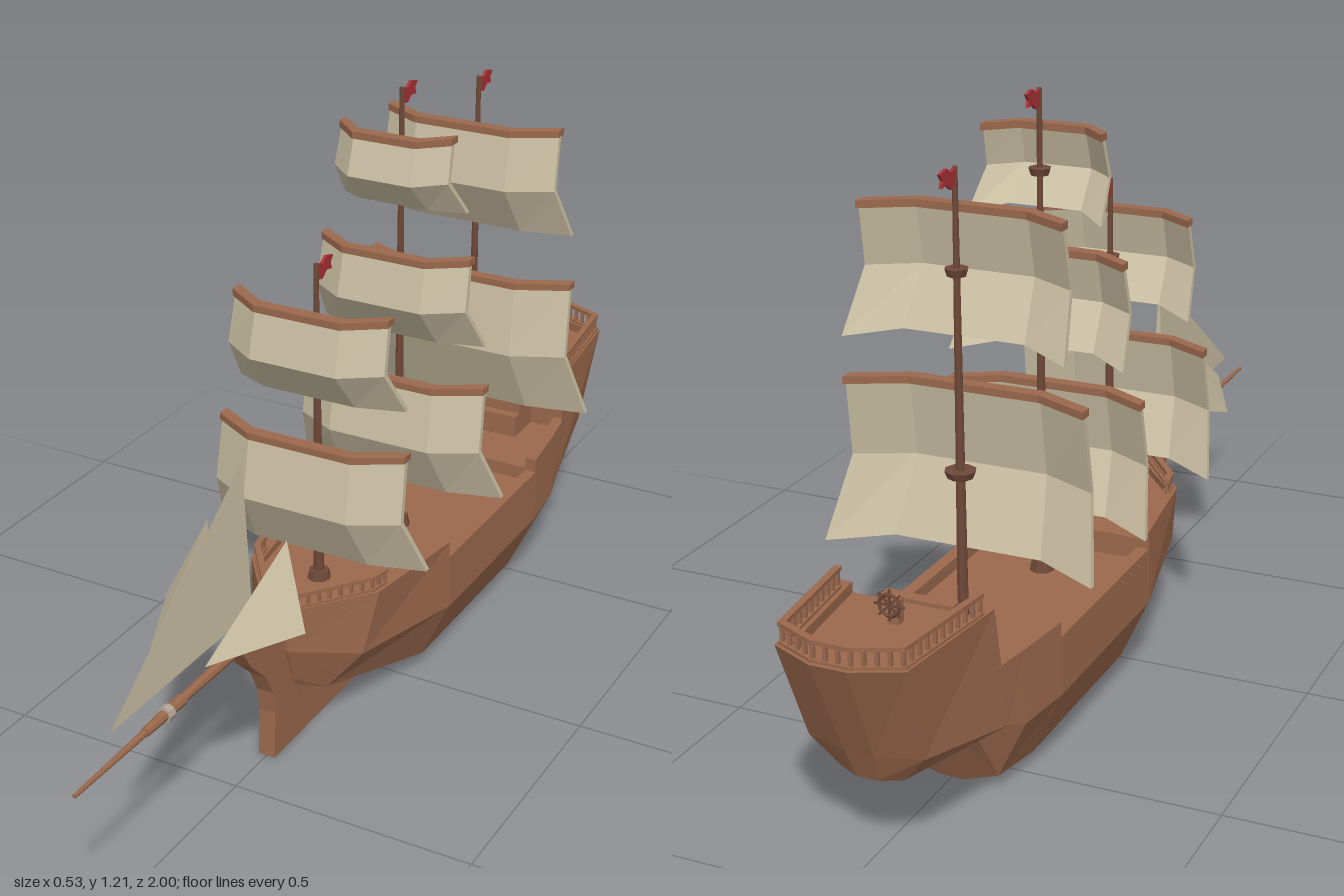
import * as THREE from 'three';

const paint = (name, color) => new THREE.MeshStandardMaterial({ name, color, flatShading: true });

export function createModel() {
  const ship = new THREE.Group();
  ship.name = 'sailingShip';
  const wood = paint('wood', 0x9a684c);
  const dark = paint('darkWood', 0x6e4838);
  const cloth = paint('sailCloth', 0xc9bea2);
  cloth.side = THREE.DoubleSide;
  const red = paint('flagRed', 0xa83236);
  const ringGrey = paint('ringGrey', 0xb3a595);

  const add = (name, geometry, material, x = 0, y = 0, z = 0, parent = ship) => {
    const mesh = new THREE.Mesh(geometry, material);
    mesh.name = name;
    mesh.position.set(x, y, z);
    parent.add(mesh);
    return mesh;
  };
  const box = (name, w, h, d, x, y, z, material = wood, parent = ship) =>
    add(name, new THREE.BoxGeometry(w, h, d), material, x, y, z, parent);
  const faces = (triangles) => {
    const g = new THREE.BufferGeometry();
    g.setAttribute('position', new THREE.Float32BufferAttribute(triangles.flat(2), 3));
    g.computeVertexNormals();
    return g;
  };

  // Skin over closed cross-sections; ends are capped by strips pairing both halves of the loop
  const loft = (sections) => {
    const tris = [];
    const n = sections[0].length;
    const quad = (a, b, c, d) => tris.push([a, b, c], [a, c, d]);
    for (let i = 0; i + 1 < sections.length; i++) {
      const p = sections[i], q = sections[i + 1];
      for (let j = 0; j < n; j++) quad(p[j], q[j], q[(j + 1) % n], p[(j + 1) % n]);
    }
    const first = sections[0], last = sections[sections.length - 1];
    for (let j = 0; j < n / 2 - 1; j++) {
      quad(first[j], first[j + 1], first[n - 2 - j], first[n - 1 - j]);
      quad(last[n - 1 - j], last[n - 2 - j], last[j + 1], last[j]);
    }
    return faces(tris);
  };

  // Hull with bulwarks and decks: keel, bilge, side, rail top, then inner wall and deck
  const station = (keel, bilge, side, top, deck, [dx, dz] = [0.025, 0]) => {
    const [x, y, z] = top;
    const half = [keel, bilge, side, top, [x - dx, y, z + dz], [x - dx, deck, z + dz]];
    return [...half, ...half.map(([px, py, pz]) => [-px, py, pz]).reverse()];
  };
  const mid = (z, top, deck) =>
    station([0.025, 0, z], [0.12, 0.03, z], [0.18, 0.16, z], [0.178, top, z], deck);
  const poopFront = (top, deck) =>
    station([0.02, 0.16, -0.65], [0.08, 0.16, -0.65], [0.155, 0.18, -0.65], [0.15, top, -0.69], deck);
  add('hull', loft([
    station([0.015, 0.12, 0.3], [0.02, 0.14, 0.31], [0.025, 0.22, 0.34], [0.02, 0.31, 0.35], 0.295, [0.01, -0.03]),
    station([0.02, 0.085, 0.28], [0.06, 0.1, 0.25], [0.125, 0.18, 0.22], [0.145, 0.31, 0.19], 0.295),
    mid(-0.05, 0.31, 0.295),
    mid(-0.05, 0.275, 0.25),
    mid(-0.475, 0.275, 0.25),
    mid(-0.475, 0.305, 0.28),
    station([0.025, 0, -0.57], [0.1, 0.03, -0.58], [0.165, 0.16, -0.6], [0.163, 0.305, -0.6], 0.28),
    poopFront(0.305, 0.28),
    poopFront(0.42, 0.4),
    station([0.02, 0.16, -0.87], [0.06, 0.16, -0.86], [0.11, 0.22, -0.88], [0.122, 0.42, -0.955], 0.4, [0.025, 0.015]),
    station([0.015, 0.16, -0.88], [0.02, 0.16, -0.88], [0.028, 0.22, -0.905], [0.035, 0.42, -0.995], 0.4, [0.01, 0.025]),
  ]), wood);

  // Stem and forefoot, drawn as (z, y) and turned to lie along the centre line
  const plate = (points, width) => {
    const shape = new THREE.Shape(points.map(([z, y]) => new THREE.Vector2(-z, y)));
    const g = new THREE.ExtrudeGeometry(shape, { depth: width, bevelEnabled: false });
    return g.translate(0, 0, -width / 2).rotateY(Math.PI / 2);
  };
  add('stem', plate([[-0.05, 0], [0.385, 0], [0.378, 0.1], [0.385, 0.15], [0.41, 0.2],
    [0.46, 0.25], [0.49, 0.295], [0.49, 0.308], [0.33, 0.308], [0.28, 0.12]], 0.036), wood);

  // Bowsprit
  add('bowsprit', new THREE.CylinderGeometry(0.004, 0.013, 0.62, 8).rotateX(Math.PI / 2), wood, 0, 0.297, 0.69);
  add('bowspritSleeve', new THREE.CylinderGeometry(0.009, 0.012, 0.12, 8).rotateX(Math.PI / 2), wood, 0, 0.297, 0.73);
  add('bowspritRing', new THREE.CylinderGeometry(0.015, 0.015, 0.018, 8).rotateX(Math.PI / 2), ringGrey, 0, 0.297, 0.72);

  // Railings: bars and posts following a plan path of (x, z)
  const railing = (name, halfPath, y, height) => {
    const group = new THREE.Group();
    group.name = name;
    ship.add(group);
    const path = [...halfPath, ...halfPath.map(([x, z]) => [-x, z]).reverse()];
    for (let i = 0; i + 1 < path.length; i++) {
      const a = new THREE.Vector3(path[i][0], y, path[i][1]);
      const b = new THREE.Vector3(path[i + 1][0], y, path[i + 1][1]);
      const length = a.distanceTo(b);
      const c = a.clone().lerp(b, 0.5);
      for (const h of [0.003, height - 0.004]) {
        const bar = box('railBar', 0.013, 0.008, length + 0.008, c.x, y + h, c.z, wood, group);
        bar.rotation.y = Math.atan2(b.x - a.x, b.z - a.z);
      }
      const count = Math.max(1, Math.round(length / 0.023));
      for (let k = 0; k <= count; k++) {
        const p = a.clone().lerp(b, k / count);
        box('railPost', 0.007, height, 0.007, p.x, y + height / 2, p.z, wood, group);
      }
    }
  };
  railing('foreRailing', [[0.137, 0.155], [0.13, 0.19], [0.02, 0.335]], 0.308, 0.034);
  railing('sternRailing', [[0.137, -0.72], [0.112, -0.945], [0.035, -0.98]], 0.418, 0.042);

  // Stairs up to the stern deck
  for (let i = 0; i < 4; i++) {
    const top = 0.33 + i * 0.026, front = -0.6 - i * 0.022;
    box('stair', 0.14, top - 0.28, front + 0.69, 0, (top + 0.28) / 2, (front - 0.69) / 2);
  }

  // Steering wheel
  box('wheelStand', 0.022, 0.045, 0.02, 0, 0.4225, -0.765);
  add('wheelRim', new THREE.TorusGeometry(0.02, 0.004, 4, 10), dark, 0, 0.44, -0.785);
  for (let i = 0; i < 4; i++) {
    box('wheelSpoke', 0.058, 0.004, 0.004, 0, 0.44, -0.785, dark).rotation.z = i * Math.PI / 4;
  }

  // Square sail with a bent yard; columns run from one side to the other
  const columns = [[1, -0.05], [0.55, 0], [-0.55, 0], [-1, -0.05]];
  const squareSail = (mastZ, yTop, yBottom, topHalf, bottomHalf) => {
    const yMid = (yTop + yBottom) / 2;
    add('squareSail', loft(columns.map(([u, back]) => {
      const z = mastZ + back;
      const drop = back ? 0 : 0.012;
      const rows = [
        [u * bottomHalf, yBottom + drop, z + 0.032],
        [u * (topHalf + 0.004), yMid, z + 0.095],
        [u * topHalf, yTop, z + 0.072],
      ];
      return [...rows.map(([x, y, pz]) => [x, y, pz - 0.012]), ...rows.reverse()];
    })), cloth);
    add('yard', loft(columns.map(([u, back]) => {
      const x = u * (topHalf + 0.002), z0 = mastZ + back + 0.052, z1 = z0 + 0.026;
      return [[x, yTop - 0.006, z0], [x, yTop + 0.008, z0], [x, yTop + 0.008, z1], [x, yTop - 0.006, z1]];
    })), wood);
  };

  // Masts: collars are [y, radius]; sails are [top, bottom, top half-width, bottom half-width]
  const lower = [0.612, 0.36, 0.2, 0.228];
  const upper = [0.88, 0.69, 0.163, 0.18];
  const masts = [
    { name: 'foreMast', z: 0.172, top: 0.96, base: 0.28, collars: [[0.485, 0.024], [0.795, 0.02]], sails: [lower, upper] },
    { name: 'mainMast', z: -0.167, top: 1.205, base: 0.24, collars: [[0.498, 0.032], [0.797, 0.025], [1.05, 0.022]],
      sails: [lower, upper, [1.12, 0.965, 0.12, 0.135]] },
    { name: 'rearMast', z: -0.512, top: 1.135, base: 0.27, collars: [[0.578, 0.03], [0.95, 0.022]],
      sails: [[0.718, 0.415, 0.233, 0.265], [1.047, 0.815, 0.194, 0.214]] },
  ];
  for (const { name, z, top, base, collars, sails } of masts) {
    add(name, new THREE.CylinderGeometry(0.005, 0.011, top - base, 8), dark, 0, (top + base) / 2, z);
    add('mastFoot', new THREE.CylinderGeometry(0.02, 0.026, 0.025, 8), dark, 0, base + 0.02, z);
    for (const [y, r] of collars) add('collar', new THREE.CylinderGeometry(r, r * 0.8, 0.014, 8), dark, 0, y, z);
    for (const sail of sails) squareSail(z, ...sail);
    const flag = [[0, 0], [-0.02, -0.006], [-0.035, 0.004], [-0.06, -0.002], [-0.05, -0.014],
      [-0.055, -0.027], [-0.035, -0.024], [-0.02, -0.036], [0, -0.032]];
    add('flag', plate(flag.reverse().map(([dz, dy]) => [z + dz, top + dy]), 0.006), red);
  }

  // Fore-and-aft sail, slightly full at its rear edge
  const tip = [0, 0.357, 0.89], peak = [0, 0.675, 0.447];
  const footL = [0.014, 0.366, 0.447], footR = [-0.014, 0.366, 0.447];
  add('centreJib', faces([[tip, footL, peak], [tip, peak, footR], [footL, footR, peak], [tip, footR, footL]]), cloth);
  // Small side sails
  for (const s of [1, -1]) {
    const t = [[s * 0.085, 0.53, 0.437], [s * 0.058, 0.388, 0.68], [s * 0.15, 0.378, 0.485]];
    const inner = [s * 0.07, 0.385, 0.45];
    add(s > 0 ? 'leftJib' : 'rightJib', faces(s > 0
      ? [[t[0], t[1], t[2]], [t[0], inner, t[1]], [t[0], t[2], inner], [t[1], inner, t[2]]]
      : [[t[0], t[2], t[1]], [t[0], t[1], inner], [t[0], inner, t[2]], [t[1], t[2], inner]]), cloth);
  }
  return ship;
}
